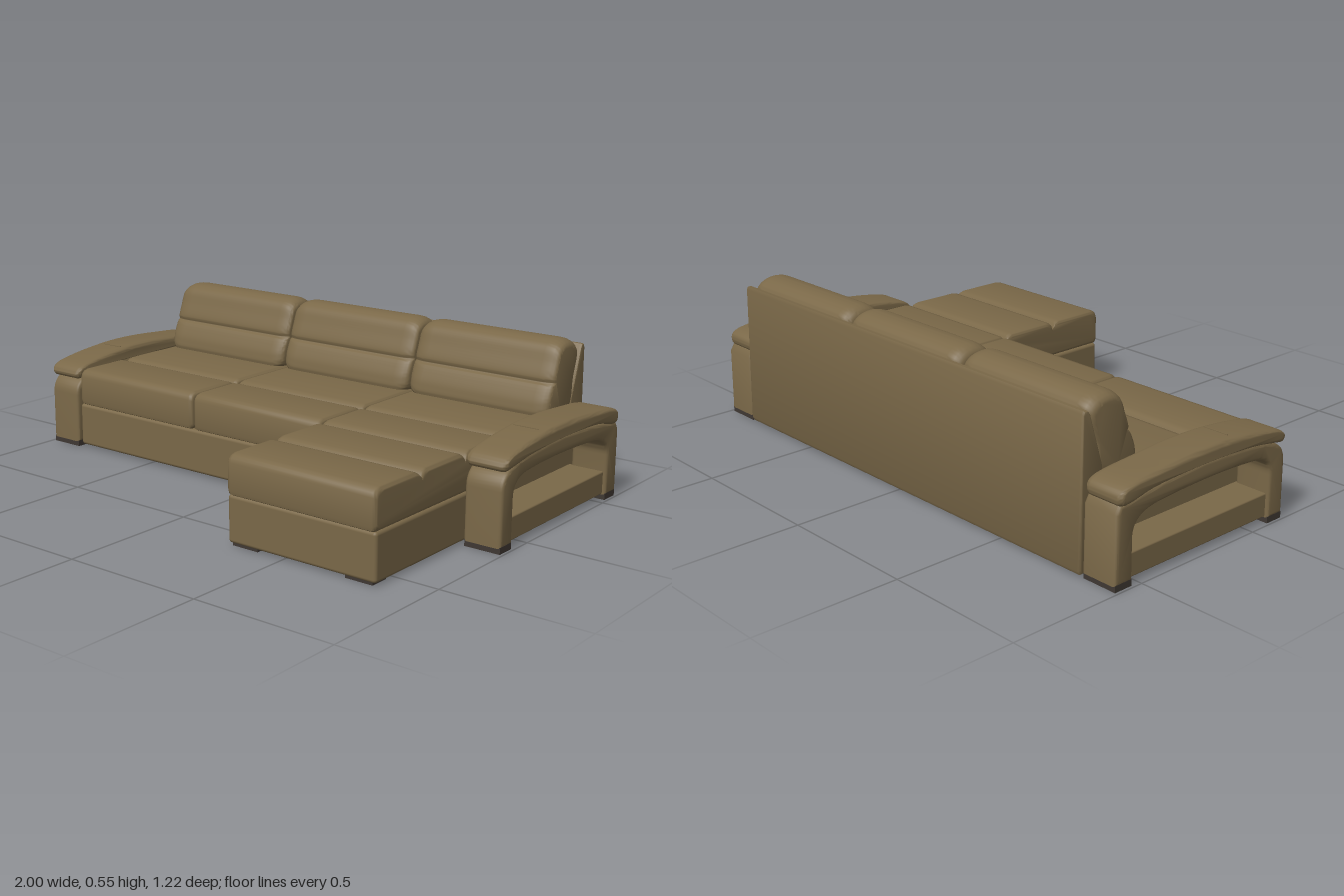
import * as THREE from 'three';
import { toCreasedNormals } from 'three/addons/utils/BufferGeometryUtils.js';
import { RoundedBoxGeometry } from 'three/addons/geometries/RoundedBoxGeometry.js';

const leather = new THREE.MeshStandardMaterial({ color: 0x7a6848 });
leather.name = 'brown leather';
const footDark = new THREE.MeshStandardMaterial({ color: 0x3f3833 });
footDark.name = 'dark feet';

function add(parent, name, geometry, material = leather) {
  const mesh = new THREE.Mesh(geometry, material);
  mesh.name = name;
  parent.add(mesh);
  return mesh;
}

// Box given by its limits, with softened edges
function box(parent, name, [x0, x1], [y0, y1], [z0, z1], radius, material) {
  const size = [x1 - x0, y1 - y0, z1 - z0];
  const geometry = radius ? new RoundedBoxGeometry(...size, 3, radius) : new THREE.BoxGeometry(...size);
  geometry.translate((x0 + x1) / 2, (y0 + y1) / 2, (z0 + z1) / 2);
  return add(parent, name, geometry, material);
}

// Closed smooth curve through a few [z, y] points
function smooth(points, count = 64) {
  const curve = new THREE.CatmullRomCurve3(points.map(([z, y]) => new THREE.Vector3(z, y, 0)), true, 'centripetal');
  return curve.getPoints(count).slice(0, -1).map((p) => [p.x, p.y]);
}

// Sweeps a [z, y] side profile from x0 to x1, rounding both ends
function padded(profile, x0, x1, endLength, inset) {
  let ring = profile.map(([z, y]) => new THREE.Vector2(-z, y));
  if (THREE.ShapeUtils.isClockWise(ring)) ring.reverse();
  const bounds = new THREE.Box2().setFromPoints(ring);
  const centre = bounds.getCenter(new THREE.Vector2());
  const size = bounds.getSize(new THREE.Vector2());
  const stations = [];
  const steps = 5;
  for (let i = 0; i <= steps; i++) {
    const t = (i / steps) * Math.PI / 2;
    stations.push([x0 + endLength * (1 - Math.cos(t)), inset * (1 - Math.sin(t))]);
  }
  for (let i = steps; i >= 0; i--) stations.push([x0 + x1 - stations[i][0], stations[i][1]]);

  const positions = [], index = [], n = ring.length;
  for (const [x, d] of stations) {
    for (const p of ring) {
      const u = centre.x + (p.x - centre.x) * (1 - 2 * d / size.x);
      const y = centre.y + (p.y - centre.y) * (1 - 2 * d / size.y);
      positions.push(x, y, -u);
    }
  }
  for (let s = 0; s < stations.length - 1; s++) {
    for (let j = 0; j < n; j++) {
      const a = s * n + j, b = s * n + (j + 1) % n;
      index.push(a, b, b + n, a, b + n, a + n);
    }
  }
  const last = (stations.length - 1) * n;
  for (const [a, b, c] of THREE.ShapeUtils.triangulateShape(ring, [])) {
    index.push(last + a, last + b, last + c, a, c, b);
  }
  const geometry = new THREE.BufferGeometry();
  geometry.setAttribute('position', new THREE.Float32BufferAttribute(positions, 3));
  geometry.setIndex(index);
  return toCreasedNormals(geometry, 0.75);
}

// Seat side profile: pillowed sections divided by stitched grooves
function seatProfile(seams) {
  const front = seams[0], back = seams[seams.length - 1];
  const points = [[back, 0.165], [front - 0.012, 0.165], [front - 0.003, 0.17], [front, 0.182]];
  for (let i = 0; i < seams.length - 1; i++) {
    const a = seams[i], b = seams[i + 1];
    points.push([a, 0.272], [a - 0.005, 0.286], [a - 0.014, 0.295], [a - 0.032, 0.3],
      [b + 0.032, 0.3], [b + 0.014, 0.295], [b + 0.005, 0.286]);
  }
  points.push([back, 0.272]);
  return points;
}

function createArm() {
  const arm = new THREE.Group();

  // Arched side frame
  const outline = new THREE.Shape();
  outline.moveTo(-0.15, 0.018);
  outline.lineTo(-0.15, 0.2);
  outline.bezierCurveTo(-0.148, 0.26, -0.09, 0.275, -0.02, 0.285);
  outline.bezierCurveTo(0.15, 0.308, 0.4, 0.3, 0.585, 0.265);
  outline.lineTo(0.6, 0.24);
  outline.lineTo(0.603, 0.018);
  outline.lineTo(0.53, 0.018);
  outline.lineTo(0.53, 0.16);
  outline.bezierCurveTo(0.525, 0.215, 0.47, 0.228, 0.4, 0.232);
  outline.bezierCurveTo(0.25, 0.242, 0.12, 0.242, 0, 0.232);
  outline.bezierCurveTo(-0.05, 0.226, -0.08, 0.21, -0.08, 0.165);
  outline.lineTo(-0.08, 0.018);
  outline.closePath();
  const bevel = 0.012;
  const arch = new THREE.ExtrudeGeometry(outline, {
    depth: 0.135 - 2 * bevel, curveSegments: 14, bevelSize: bevel, bevelThickness: bevel,
    bevelOffset: -bevel, bevelSegments: 3,
  });
  arch.rotateY(Math.PI / 2);
  arch.translate(0.858 + bevel, 0, 0);
  add(arm, 'armFrame', toCreasedNormals(arch, 0.75));

  // Curved pad on top
  const pad = smooth([[0.147, 0.28], [0.125, 0.303], [0.05, 0.322], [-0.1, 0.34], [-0.22, 0.344],
    [-0.4, 0.335], [-0.575, 0.312], [-0.592, 0.29], [-0.583, 0.262], [-0.45, 0.285],
    [-0.2, 0.295], [0, 0.283], [0.1, 0.266], [0.138, 0.262]], 72);
  add(arm, 'armPad', padded(pad, 0.853, 1, 0.02, 0.018));
  box(arm, 'armPadSeam', [0.875, 0.965], [0.335, 0.342], [-0.102, -0.098], 0);

  // Low shelf inside the arch
  box(arm, 'armShelf', [0.845, 0.98], [0.02, 0.1], [-0.54, 0.09], 0.005);

  for (const [z0, z1] of [[0.082, 0.148], [-0.6, -0.532]]) {
    box(arm, 'armFoot', [0.862, 0.99], [0, 0.022], [z0, z1], 0, footDark);
  }
  return arm;
}

export function createModel() {
  const sofa = new THREE.Group();
  sofa.name = 'cornerSofa';

  // Bases
  box(sofa, 'sofaBase', [-0.857, 0.285], [0.008, 0.167], [-0.59, 0.138], 0.012);
  box(sofa, 'chaiseBase', [0.285, 0.85], [0.008, 0.167], [-0.59, 0.605], 0.012);

  // Chaise feet
  for (const x of [0.3, 0.735]) {
    box(sofa, 'chaiseFoot', [x, x + 0.1], [0, 0.012], [0.53, 0.598], 0, footDark);
  }

  // Raked back panel
  const backProfile = [[-0.606, 0.008], [-0.612, 0.02], [-0.602, 0.505], [-0.597, 0.514],
    [-0.585, 0.514], [-0.577, 0.505], [-0.52, 0.33], [-0.52, 0.008]];
  add(sofa, 'backPanel', padded(backProfile, -0.857, 0.85, 0.008, 0.006));

  // Seats and back cushions
  const cushionProfile = smooth([[-0.365, 0.295], [-0.364, 0.335], [-0.378, 0.375], [-0.392, 0.4],
    [-0.402, 0.408], [-0.399, 0.42], [-0.418, 0.475], [-0.438, 0.522], [-0.465, 0.54],
    [-0.505, 0.545], [-0.55, 0.533], [-0.576, 0.505], [-0.55, 0.4], [-0.53, 0.295]], 80);
  const bays = [[-0.855, -0.287], [-0.282, 0.282], [0.286, 0.85]];
  bays.forEach(([x0, x1], i) => {
    const seams = i === 2 ? [0.612, 0.378, 0.138, -0.1, -0.56] : [0.14, -0.1, -0.56];
    add(sofa, i === 2 ? 'chaiseSeat' : 'seatCushion', padded(seatProfile(seams), x0, x1, 0.018, 0.014));
    add(sofa, 'backCushion', padded(cushionProfile, x0 + 0.002, x1 - 0.002, 0.055, 0.028));
  });

  // Matching arms
  const leftArm = createArm();
  leftArm.name = 'leftArm';
  const rightArm = createArm();
  rightArm.name = 'rightArm';
  rightArm.scale.x = -1;
  sofa.add(leftArm, rightArm);
  return sofa;
}
